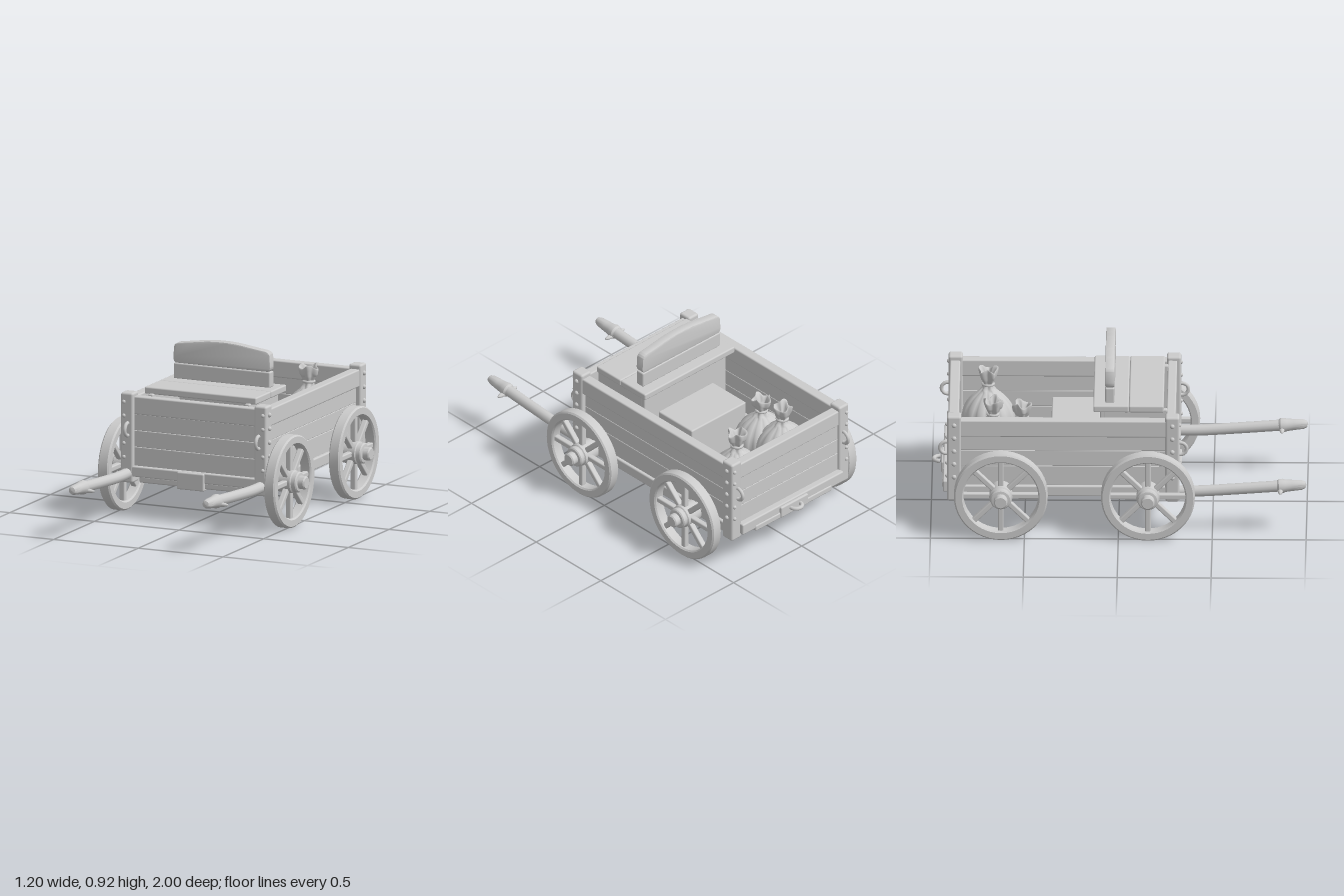
import * as THREE from 'three';
import { RoundedBoxGeometry } from 'three/addons/geometries/RoundedBoxGeometry.js';
import { toCreasedNormals } from 'three/addons/utils/BufferGeometryUtils.js';

const material = new THREE.MeshStandardMaterial({ color: 0xcccccc, side: THREE.DoubleSide });

function add(parent, name, geometry, x = 0, y = 0, z = 0) {
  const mesh = new THREE.Mesh(geometry, material);
  mesh.name = name;
  mesh.position.set(x, y, z);
  parent.add(mesh);
  return mesh;
}

// Soft-edged timber given by its extents
function board(parent, name, x0, x1, y0, y1, z0, z1, r = 0.008) {
  const w = x1 - x0, h = y1 - y0, d = z1 - z0;
  const geo = new RoundedBoxGeometry(w, h, d, 2, Math.min(r, w / 2.2, h / 2.2, d / 2.2));
  return add(parent, name, geo, (x0 + x1) / 2, (y0 + y1) / 2, (z0 + z1) / 2);
}

// The same timber on both sides of the cart
function pair(parent, name, x0, x1, ...rest) {
  board(parent, name + 'Left', x0, x1, ...rest);
  board(parent, name + 'Right', -x1, -x0, ...rest);
}

function lathe(points, segments) {
  return toCreasedNormals(new THREE.LatheGeometry(points.map(p => new THREE.Vector2(...p)), segments), 0.6);
}

// Wheel with its axis along local y, outward = +y
function makeWheel() {
  const wheel = new THREE.Group();
  add(wheel, 'rim', lathe([[0.2, -0.024], [0.207, -0.032], [0.242, -0.032], [0.25, -0.024],
    [0.25, 0.024], [0.242, 0.032], [0.207, 0.032], [0.2, 0.024], [0.2, -0.024]], 48));
  add(wheel, 'hub', lathe([[0, -0.13], [0.035, -0.13], [0.035, -0.07], [0.058, -0.065], [0.062, -0.03],
    [0.062, 0.03], [0.056, 0.035], [0.056, 0.058], [0.05, 0.064], [0.036, 0.066], [0.036, 0.096],
    [0.03, 0.103], [0, 0.103]], 20));
  for (let i = 0; i < 8; i++) {
    const arm = new THREE.Group();
    arm.name = 'spokeArm';
    arm.rotation.y = i * Math.PI / 4;
    board(arm, 'spoke', 0.04, 0.208, -0.016, 0.016, -0.015, 0.015, 0.007);
    wheel.add(arm);
  }
  return wheel;
}

// Ribbed round sack with a tied neck and ruffled mouth
function makeSack() {
  const profile = [[0, 0], [0.07, 0.003], [0.115, 0.035], [0.138, 0.085], [0.142, 0.135], [0.128, 0.19],
    [0.095, 0.24], [0.055, 0.277], [0.032, 0.3], [0.026, 0.325], [0.034, 0.345], [0.045, 0.375],
    [0.048, 0.405], [0.035, 0.395], [0.015, 0.35], [0, 0.345]];
  const curve = new THREE.SplineCurve(profile.map(p => new THREE.Vector2(...p)));
  const pts = curve.getPoints(45).map(p => p.set(Math.max(p.x, 0), p.y));
  const geo = new THREE.LatheGeometry(pts, 72);
  const pos = geo.attributes.position;
  for (let i = 0; i < pos.count; i++) {
    const x = pos.getX(i), y = pos.getY(i), z = pos.getZ(i);
    const a = Math.atan2(z, x);
    const body = 0.93 + 0.09 * Math.sqrt(Math.abs(Math.sin(a * 6)));
    const mouth = 1 + 0.16 * Math.sin(a * 5);
    const k = y < 0.29 ? body : mouth;
    pos.setXYZ(i, x * k, y + (y > 0.36 ? 0.012 * Math.sin(a * 3) : 0), z * k);
  }
  geo.computeVertexNormals();
  const sack = new THREE.Group();
  sack.name = 'sack';
  add(sack, 'sackCloth', geo);
  add(sack, 'sackTie', new THREE.TorusGeometry(0.028, 0.008, 8, 20), 0, 0.322, 0).rotation.x = Math.PI / 2;
  return sack;
}

export function createModel() {
  const cart = new THREE.Group();
  cart.name = 'cart';

  // Floor planks
  const n = 8, pw = 0.74 / n;
  for (let i = 0; i < n; i++) {
    board(cart, 'floorPlank', -0.37 + i * pw + 0.001, -0.37 + (i + 1) * pw - 0.001, 0.225, 0.275, -0.88, 0.29, 0.006);
  }

  // Side, front and back walls
  pair(cart, 'sideTopRail', 0.365, 0.422, 0.56, 0.655, -0.86, 0.28);
  pair(cart, 'sideBottomRail', 0.36, 0.42, 0.215, 0.275, -0.88, 0.3);
  const seams = [0.272, 0.385, 0.475, 0.565];
  for (let i = 0; i < 3; i++) {
    pair(cart, 'sidePlank', 0.372, 0.403, seams[i], seams[i + 1], -0.86, 0.28, 0.004);
    board(cart, 'frontPlank', -0.37, 0.37, seams[i], seams[i + 1], 0.262, 0.3, 0.004);
    board(cart, 'backPlank', -0.37, 0.37, seams[i], seams[i + 1], -0.9, -0.862, 0.004);
  }
  board(cart, 'frontTopPlank', -0.37, 0.37, 0.562, 0.66, 0.255, 0.304);
  board(cart, 'backTopRail', -0.37, 0.37, 0.562, 0.655, -0.905, -0.85);

  // Sills under the end walls
  board(cart, 'frontSill', -0.37, 0.37, 0.225, 0.283, 0.255, 0.322);
  board(cart, 'frontSillStrip', -0.325, 0.325, 0.195, 0.23, 0.262, 0.315);
  board(cart, 'frontSillBlock', -0.095, 0.065, 0.185, 0.28, 0.28, 0.334);
  board(cart, 'backSill', -0.37, 0.37, 0.215, 0.28, -0.935, -0.86);
  board(cart, 'backSillStrip', -0.28, 0.28, 0.2, 0.235, -0.94, -0.88);
  board(cart, 'backSillBlock', -0.1, 0.1, 0.205, 0.27, -0.948, -0.9);
  const hitch = add(cart, 'hitchRing', new THREE.TorusGeometry(0.034, 0.011, 10, 24, Math.PI), 0, 0.245, -0.953);
  hitch.rotation.x = -Math.PI / 2;

  // Corner posts with rivets and rings
  for (const s of [-1, 1]) {
    for (const [z, out] of [[0.287, 1], [-0.875, -1]]) {
      board(cart, 'cornerPost', s * 0.394 - 0.036, s * 0.394 + 0.036, 0.19, 0.68, z - 0.038, z + 0.038, 0.012);
      for (let i = 0; i < 5; i++) {
        const y = 0.33 + i * 0.075;
        add(cart, 'rivet', new THREE.SphereGeometry(0.013, 10, 8), s * 0.43, y, z);
        if (i !== 2) add(cart, 'rivet', new THREE.SphereGeometry(0.011, 10, 8), s * 0.41, y, z + out * 0.037);
      }
      const ring = add(cart, 'postRing', new THREE.TorusGeometry(0.034, 0.01, 10, 24), s * 0.387, 0.483, z + out * 0.042);
      ring.rotation.y = Math.PI / 2;
    }
  }

  // Seat with curved backrest and box below
  board(cart, 'seatPlankFront', -0.33, 0.33, 0.665, 0.703, 0.055, 0.24);
  board(cart, 'seatPlankBack', -0.33, 0.33, 0.665, 0.703, -0.135, 0.054);
  board(cart, 'seatBoxPanel', -0.3, 0.3, 0.275, 0.67, -0.1, -0.07);
  pair(cart, 'seatBoxSide', 0.27, 0.3, 0.275, 0.67, -0.08, 0.26);
  board(cart, 'backrestLower', -0.285, 0.285, 0.7, 0.787, -0.072, -0.022);
  const shape = new THREE.Shape();
  shape.moveTo(-0.27, 0.794);
  shape.lineTo(0.27, 0.794);
  shape.quadraticCurveTo(0.282, 0.8, 0.28, 0.82);
  shape.lineTo(0.277, 0.87);
  shape.quadraticCurveTo(0.275, 0.888, 0.25, 0.892);
  shape.bezierCurveTo(0.14, 0.905, 0.1, 0.918, 0, 0.918);
  shape.bezierCurveTo(-0.1, 0.918, -0.14, 0.905, -0.25, 0.892);
  shape.quadraticCurveTo(-0.275, 0.888, -0.277, 0.87);
  shape.lineTo(-0.28, 0.82);
  shape.quadraticCurveTo(-0.282, 0.8, -0.27, 0.794);
  add(cart, 'backrestUpper', toCreasedNormals(new THREE.ExtrudeGeometry(shape, {
    depth: 0.036, bevelSize: 0.007, bevelThickness: 0.007, bevelSegments: 2, curveSegments: 10,
  }), 0.6), 0, 0, -0.065);

  // Crate and sacks
  board(cart, 'crate', -0.2, 0.2, 0.275, 0.52, -0.36, -0.1);
  for (const [x, z, h, turn] of [[-0.17, -0.67, 0.96, 0.2], [-0.165, -0.515, 0.9, 0.9], [0.19, -0.7, 1, 1.5]]) {
    const sack = makeSack();
    sack.position.set(x, 0.275, z);
    sack.scale.y = h;
    sack.rotation.y = turn;
    cart.add(sack);
  }

  // Wheels
  for (const [x, z, name] of [[0.495, 0.175, 'frontWheelLeft'], [-0.495, 0.158, 'frontWheelRight'],
    [0.495, -0.62, 'backWheelLeft'], [-0.495, -0.625, 'backWheelRight']]) {
    const wheel = makeWheel();
    wheel.name = name;
    wheel.position.set(x, 0.254, z);
    wheel.rotation.z = x > 0 ? -Math.PI / 2 : Math.PI / 2;
    cart.add(wheel);
  }

  // Pulling shafts with pegged tips
  for (const s of [-1, 1]) {
    const x = s * 0.395;
    const path = new THREE.CatmullRomCurve3([[0.27, 0.24], [0.42, 0.24], [0.65, 0.255], [0.87, 0.272]]
      .map(([z, y]) => new THREE.Vector3(x, y, z)));
    add(cart, 'shaft', new THREE.TubeGeometry(path, 20, 0.03, 12));
    const tip = add(cart, 'shaftTip', lathe([[0, 0], [0.03, 0], [0.038, 0.01], [0.038, 0.03], [0.033, 0.045],
      [0.03, 0.08], [0.026, 0.13], [0.018, 0.15], [0, 0.156]], 16), x, 0.27, 0.845);
    tip.rotation.x = Math.PI / 2 - 0.06;
    const peg = add(cart, 'shaftPeg', new THREE.SphereGeometry(1, 16, 10), x, 0.255, 0.862);
    peg.scale.set(0.072, 0.014, 0.016);
  }
  return cart;
}
